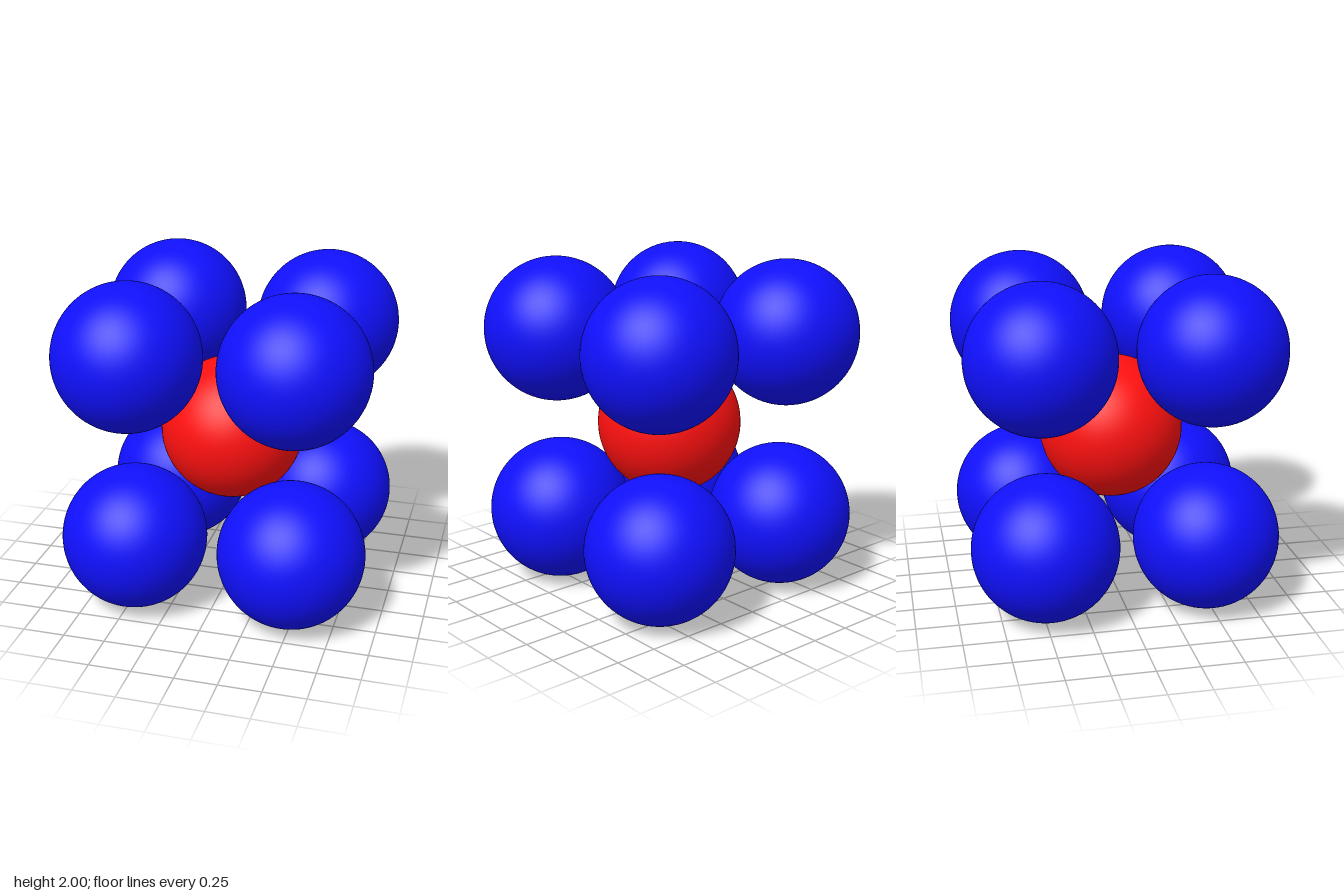
import * as THREE from 'three';

const RADIUS = 0.433;

export function createModel() {
  const group = new THREE.Group();
  const sphere = new THREE.SphereGeometry(RADIUS, 64, 48);
  const red = new THREE.MeshStandardMaterial({ color: 0xff1010 });
  const blue = new THREE.MeshStandardMaterial({ color: 0x1010ff });

  function addSphere(name, material, x, y, z) {
    const mesh = new THREE.Mesh(sphere, material);
    mesh.name = name;
    mesh.position.set(x, y, z);
    group.add(mesh);
  }

  // Red sphere in the middle of the cell
  addSphere('centreSphere', red, 0.002, 1.003, 0);

  // Four vertical edges of the cell: one blue sphere at each end.
  // The upper right pair sits slightly further out than the rest.
  for (const front of [1, -1]) {
    const depth = front > 0 ? 'Front' : 'Back';
    addSphere(`upperLeft${depth}Sphere`, blue, 0.481, 1.567, front * 0.48);
    addSphere(`lowerLeft${depth}Sphere`, blue, 0.481, 0.435, front * 0.48);
    addSphere(`upperRight${depth}Sphere`, blue, -0.488, 1.567, front * 0.492);
    addSphere(`lowerRight${depth}Sphere`, blue, -0.476, 0.435, front * 0.48);
  }

  return group;
}
